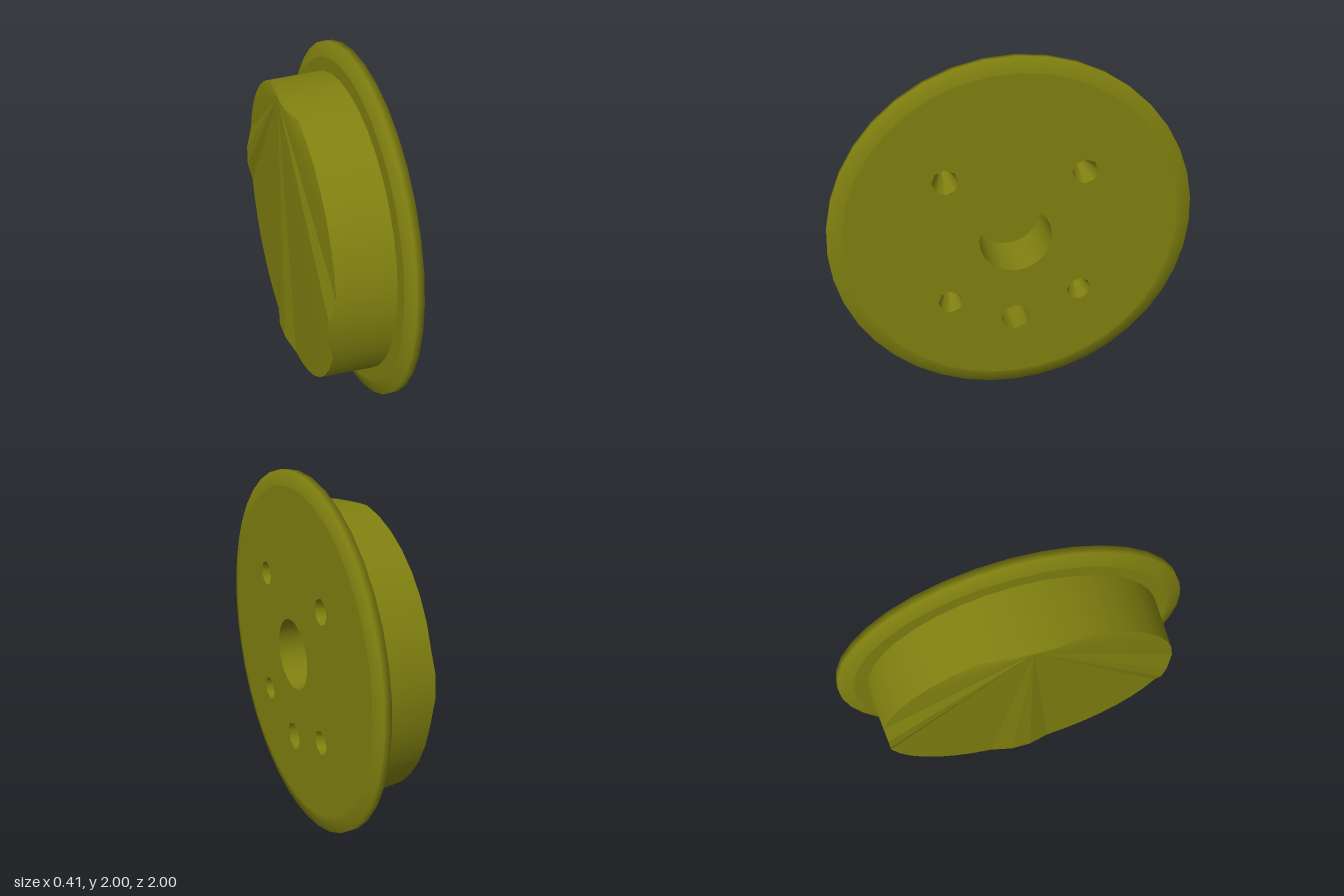
import * as THREE from 'three';

const SEG = 40;
const OLIVE = 0x808010;

export function createModel() {
  const group = new THREE.Group();
  const wheel = new THREE.Group();
  wheel.name = 'flangedWheel';
  wheel.position.y = 1;
  group.add(wheel);

  const outside = new THREE.MeshStandardMaterial({ color: OLIVE });
  const inside = new THREE.MeshStandardMaterial({ color: OLIVE, side: THREE.BackSide });

  const add = (name, geometry, material = outside) => {
    const mesh = new THREE.Mesh(geometry, material);
    mesh.name = name;
    wheel.add(mesh);
    return mesh;
  };
  // Profiles are [radius, x]; the lathe axis is turned onto x
  const lathe = (pts) =>
    new THREE.LatheGeometry(pts.map(([r, x]) => new THREE.Vector2(r, x)), SEG);
  const alongX = (geometry) => geometry.rotateZ(-Math.PI / 2);

  // Drum: slightly tapered, inner rim raised at four places
  const drum = lathe([[0.83, -0.18], [0.845, 0.12]]);
  const pos = drum.attributes.position;
  const rim = [];
  for (let k = 0; k <= SEG; k++) {
    const a = (k / SEG) * Math.PI * 2;
    const raised = k % 10 < 2;
    const r = raised ? 0.805 : 0.83;
    const p = [r * Math.sin(a), raised ? -0.21 : -0.18, r * Math.cos(a)];
    pos.setXYZ(k * 2, ...p);
    rim.push(p);
  }
  add('drum', alongX(drum));

  // Closed end of the drum: a fan from the topmost rim point
  const fan = [];
  for (let i = 1; i < SEG - 1; i++) {
    fan.push(...rim[30], ...rim[(31 + i) % SEG], ...rim[(30 + i) % SEG]);
  }
  const end = new THREE.BufferGeometry();
  end.setAttribute('position', new THREE.Float32BufferAttribute(fan, 3));
  end.computeVertexNormals();
  add('drumEnd', alongX(end));

  // Flange
  add('flangeBack', alongX(lathe([[0.84, 0.12], [0.92, 0.12]])));
  add('flangeRim', alongX(lathe([[0.92, 0.12], [1, 0.145], [1, 0.185], [0.92, 0.2]])));

  // Holes in the outer face: y, z, radius, sides, depth, bottom radius
  const holes = [
    { name: 'axleHole', y: 0, z: 0, r: 0.2, n: SEG, depth: 0.3, bottom: 0.2 },
    { name: 'pinHole', y: -0.52, z: 0, r: 0.083, n: 8, depth: 0.3, bottom: 0.083 },
  ];
  for (const y of [-0.37, 0.37]) {
    for (const z of [-0.37, 0.37]) {
      holes.push({ name: 'boltHole', y, z, r: 0.07, n: 8, depth: 0.25, bottom: 0 });
    }
  }

  // Outer face, drawn with shape x = -z
  const ring = (cx, cy, r, n) =>
    Array.from({ length: n }, (_, i) => {
      const a = (i / n) * Math.PI * 2;
      return new THREE.Vector2(cx + r * Math.cos(a), cy + r * Math.sin(a));
    });
  const face = new THREE.Shape(ring(0, 0, 0.92, SEG));
  for (const h of holes) face.holes.push(new THREE.Path(ring(-h.z, h.y, h.r, h.n)));
  add('outerFace', new THREE.ShapeGeometry(face).rotateY(Math.PI / 2)).position.x = 0.2;

  // Hole walls and bottoms
  for (const h of holes) {
    const wall = new THREE.CylinderGeometry(h.r, h.bottom, h.depth, h.n, 1, true);
    add(h.name, alongX(wall), inside).position.set(0.2 - h.depth / 2, h.y, h.z);
    if (h.bottom > 0) {
      const floor = new THREE.CircleGeometry(h.bottom, h.n).rotateY(Math.PI / 2);
      add(h.name + 'Floor', floor).position.set(0.2 - h.depth, h.y, h.z);
    }
  }
  return group;
}
